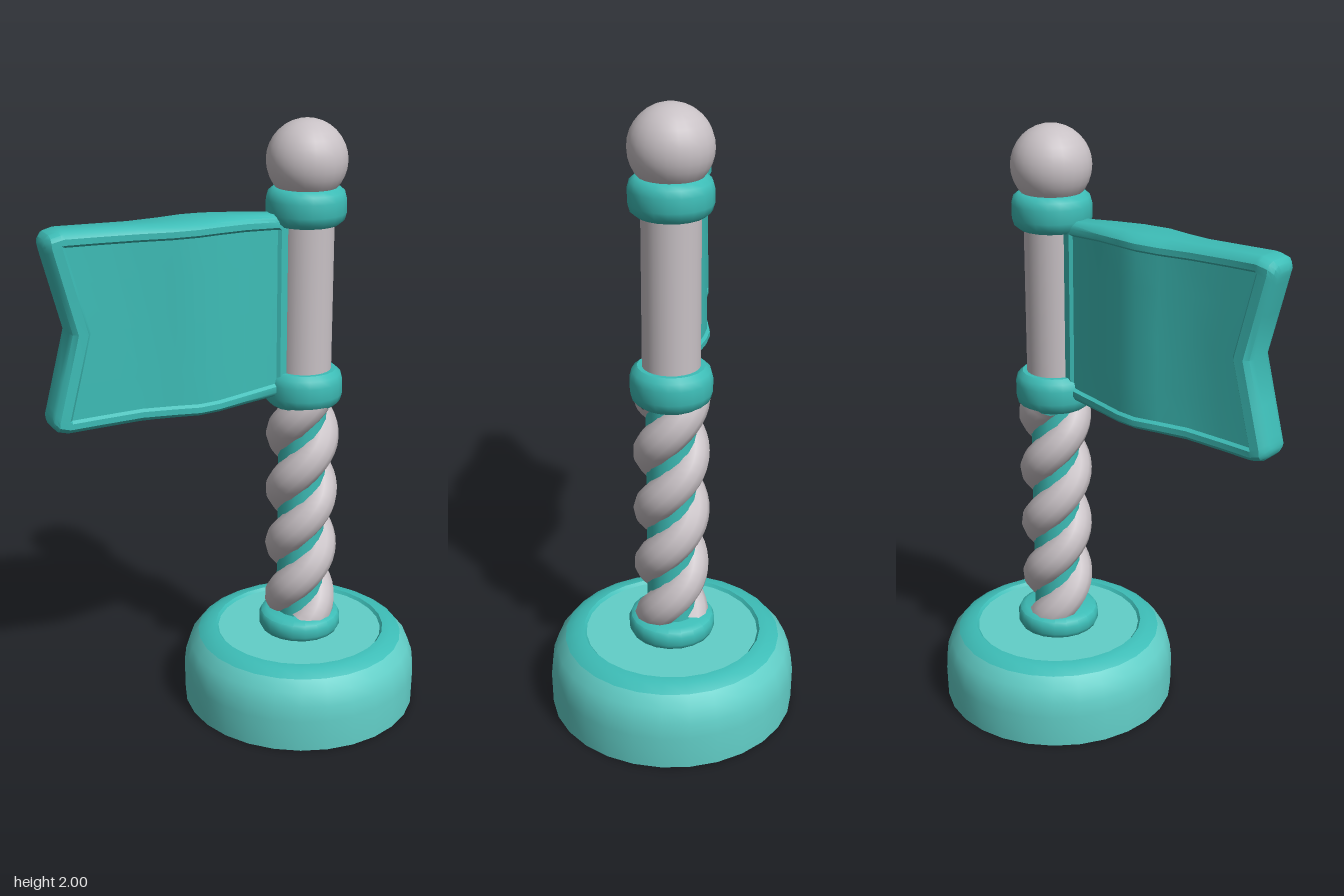
import * as THREE from 'three';
import { toCreasedNormals } from 'three/addons/utils/BufferGeometryUtils.js';

const AXIS_X = 0.235; // the pole stands off-centre, the flag balances it

const makeMaterial = (name, color) => {
  const m = new THREE.MeshStandardMaterial({ color });
  m.name = name;
  return m;
};

export function createModel() {
  const model = new THREE.Group();
  model.name = 'flagPole';
  const teal = makeMaterial('teal', 0x3dbdb7);
  const paleTeal = makeMaterial('paleTeal', 0x62cfc8);
  const grey = makeMaterial('warmGrey', 0xc8c1c5);

  const add = (name, geometry, material, x = AXIS_X, y = 0) => {
    const mesh = new THREE.Mesh(geometry, material);
    mesh.name = name;
    mesh.position.set(x, y, 0);
    model.add(mesh);
    return mesh;
  };
  const lathe = (points, segments = 28) => toCreasedNormals(
    new THREE.LatheGeometry(points.map(([r, y]) => new THREE.Vector2(r, y)), segments), 0.7);

  // Base: pale drum, deeper shoulder ring, pale disc slightly sunk in the top
  add('baseDrum', lathe([[0, 0], [0.4, 0], [0.402, 0.11], [0.396, 0.16], [0.38, 0.205], [0.352, 0.24]]), paleTeal);
  add('baseRim', lathe([[0.352, 0.24], [0.32, 0.26], [0.29, 0.262], [0.282, 0.252]]), teal);
  add('baseDisc', lathe([[0.282, 0.252], [0, 0.252]]), paleTeal);

  // Collars: rounded rings around the pole
  const collar = (name, y, h, r) => add(name, lathe([
    [0, 0], [r * 0.82, 0], [r * 0.95, h * 0.12], [r, h * 0.32],
    [r, h * 0.68], [r * 0.95, h * 0.88], [r * 0.82, h], [0, h],
  ], 20), teal, AXIS_X, y);
  collar('footCollar', 0.25, 0.075, 0.14);
  collar('lowerCollar', 1.08, 0.12, 0.128);
  collar('upperCollar', 1.675, 0.115, 0.128);

  // Twisted shaft: a core with two strands wound around it
  add('twistCore', new THREE.CylinderGeometry(0.08, 0.08, 0.82, 16), teal, AXIS_X, 0.7);
  const PITCH = 0.4, Y0 = 0.29, Y1 = 1.11;
  for (let s = 0; s < 2; s++) {
    const points = [];
    for (let i = 0; i <= 32; i++) {
      const y = Y0 + (Y1 - Y0) * i / 32;
      const a = s * Math.PI - (y - 0.6) / PITCH * Math.PI * 2;
      points.push(new THREE.Vector3(Math.cos(a) * 0.058, y, Math.sin(a) * 0.058));
    }
    const path = new THREE.CatmullRomCurve3(points);
    add('twistStrand' + (s + 1), new THREE.TubeGeometry(path, 56, 0.063, 12), grey);
  }

  // Plain upper pole and ball finial
  add('upperPole', new THREE.CylinderGeometry(0.09, 0.09, 0.52, 24), grey, AXIS_X, 1.44);
  add('finial', new THREE.SphereGeometry(0.128, 24, 16), grey, AXIS_X, 1.872);

  add('flag', flagGeometry(), teal, 0);
  return model;
}

// Flag: cross-sections along x, with a raised border, a sunk panel and a notched tip
function flagGeometry() {
  const MID = 1.42;
  // x, half height, half thickness, panel depth, share of the notch
  const stations = [
    [0.17, 0.29, 0.035, 0, 0],
    [0.13, 0.295, 0.042, 0, 0],
    [0.12, 0.296, 0.044, 0.010, 0],
    [0.00, 0.304, 0.064, 0.010, 0],
    [-0.10, 0.308, 0.086, 0.010, 0],
    [-0.17, 0.308, 0.094, 0.010, 0],
    [-0.25, 0.306, 0.082, 0.010, 0.1],
    [-0.35, 0.306, 0.064, 0.010, 0.3],
    [-0.48, 0.309, 0.062, 0.010, 0.7],
    [-0.575, 0.311, 0.063, 0.010, 1],
    [-0.585, 0.310, 0.065, 0, 1],
    [-0.615, 0.302, 0.062, 0, 1],
    [-0.629, 0.288, 0.048, 0, 1],
    [-0.635, 0.270, 0.030, 0, 1],
  ];
  const positions = [], index = [];
  for (const [x, h, t, depth, notch] of stations) {
    const half = [[h, t * 0.55], [h - 0.008, t * 0.85], [h - 0.02, t], [h - 0.038, t],
      [h - 0.046, t - depth], [h * 0.5, t - depth]];
    const front = [...half, [0, t - depth], ...half.map(([y, z]) => [-y, z]).reverse()];
    const back = front.map(([y, z]) => [y, -z]).reverse();
    for (const [y, z] of [...front, ...back]) {
      const pull = 0.07 * notch * Math.max(0, 1 - Math.abs(y) / 0.27);
      positions.push(x + pull, MID + y, z);
    }
  }
  const n = 26, last = (stations.length - 1) * n;
  for (let i = 0; i < stations.length - 1; i++) {
    for (let j = 0; j < n; j++) {
      const a = i * n + j, b = i * n + (j + 1) % n;
      index.push(a, a + n, b, a + n, b + n, b);
    }
  }
  // Close the tip and the hidden pole end
  for (let j = 0; j < n / 2 - 1; j++) {
    const k = n - 1 - j;
    index.push(j, j + 1, k, j + 1, k - 1, k);
    index.push(last + j, last + k, last + j + 1, last + j + 1, last + k, last + k - 1);
  }
  const geometry = new THREE.BufferGeometry();
  geometry.setAttribute('position', new THREE.Float32BufferAttribute(positions, 3));
  geometry.setIndex(index);
  return toCreasedNormals(geometry, 0.6);
}
